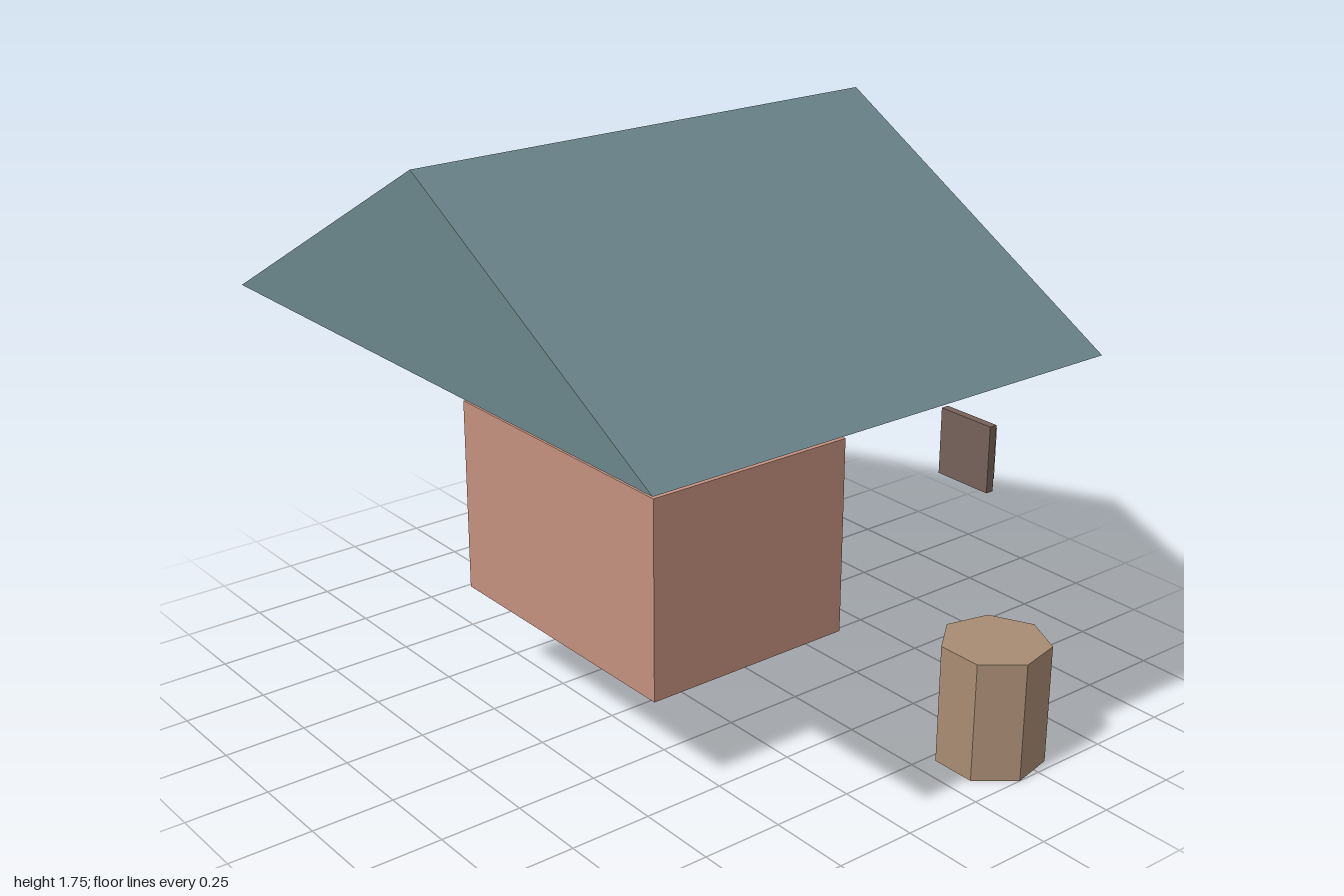
import * as THREE from 'three';

const material = (color, side = THREE.FrontSide) =>
  new THREE.MeshStandardMaterial({ color, flatShading: true, side });

function addPart(group, name, geometry, mat, x, y, z) {
  const mesh = new THREE.Mesh(geometry, mat);
  mesh.name = name;
  mesh.position.set(x, y, z);
  group.add(mesh);
  return mesh;
}

// Box given by its extents along each axis
function addBox(group, name, color, [x0, x1], [y0, y1], [z0, z1]) {
  return addPart(group, name, new THREE.BoxGeometry(x1 - x0, y1 - y0, z1 - z0),
    material(color), (x0 + x1) / 2, (y0 + y1) / 2, (z0 + z1) / 2);
}

export function createModel() {
  const group = new THREE.Group();
  group.name = 'explodedHut';

  // Solid gable roof, ridge along z
  const gable = new THREE.Shape();
  gable.moveTo(-0.985, 0);
  gable.lineTo(0.985, 0);
  gable.lineTo(0, 0.55);
  gable.closePath();
  const roof = new THREE.ExtrudeGeometry(gable, { depth: 1.51, bevelEnabled: false });
  addPart(group, 'roof', roof, material(0x6a858a), -0.015, 1.2, -0.67);

  // Main body
  addBox(group, 'walls', 0xc4917f, [-0.465, 0.44], [0.3, 0.9], [-0.245, 0.43]);

  // Slab floating behind the walls
  addBox(group, 'awning', 0xd0b88f, [-0.425, 0.075], [0.925, 0.967], [-0.845, -0.68]);

  // Window frame with a thin pane behind it
  addBox(group, 'windowFrame', 0x766259, [0.47, 0.66], [0.715, 0.917], [-0.615, -0.59]);
  const pane = new THREE.PlaneGeometry(0.14, 0.155);
  addPart(group, 'windowPane', pane, material(0xb9bfbd, THREE.DoubleSide),
    0.565, 0.815, -0.645).rotation.y = Math.PI;

  // Thin door panel
  const door = new THREE.PlaneGeometry(0.335, 0.38);
  addPart(group, 'door', door, material(0x6a8a8e, THREE.DoubleSide),
    -0.197, 0.4, -0.612).rotation.y = Math.PI;

  // Seven-sided barrel with a flat side to the front
  const barrel = new THREE.CylinderGeometry(0.159, 0.159, 0.365, 7);
  addPart(group, 'barrel', barrel, material(0xa98c73),
    0.845, 0.1825, -0.461).rotation.y = Math.PI;

  return group;
}
